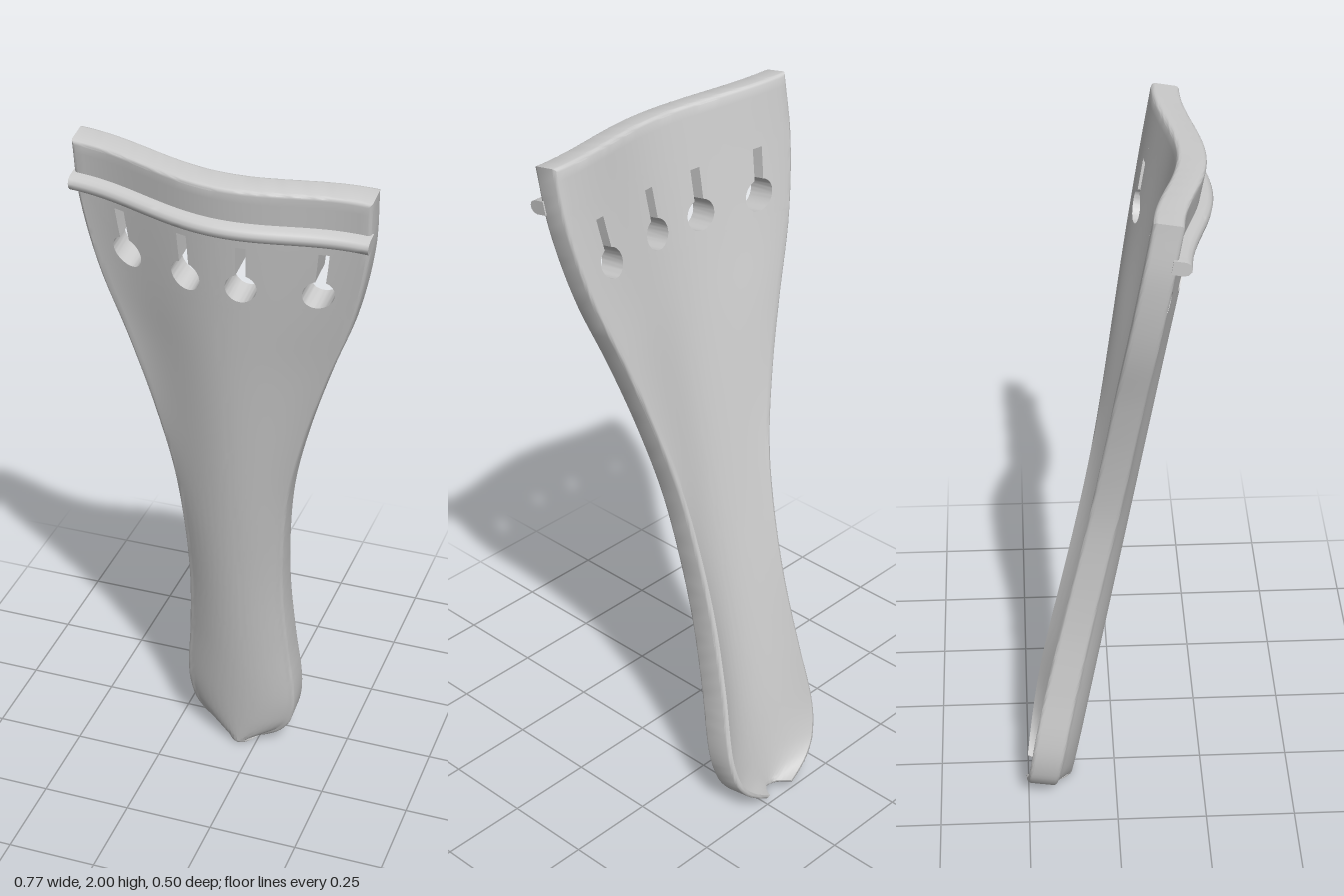
import * as THREE from 'three';
import { toCreasedNormals } from 'three/addons/utils/BufferGeometryUtils.js';

const TOP = 1.96, BEVEL = 0.01;

// smooth interpolation through [v, value] pairs
function smooth(table) {
  const slope = i => {
    const a = table[Math.max(i - 1, 0)], b = table[Math.min(i + 1, table.length - 1)];
    return (b[1] - a[1]) / (b[0] - a[0]);
  };
  return v => {
    let i = 0;
    while (i < table.length - 2 && v > table[i + 1][0]) i++;
    const [v0, p0] = table[i], [v1, p1] = table[i + 1], d = v1 - v0;
    const t = Math.min(Math.max((v - v0) / d, 0), 1), t2 = t * t, t3 = t2 * t;
    return p0 * (2 * t3 - 3 * t2 + 1) + p1 * (3 * t2 - 2 * t3)
      + slope(i) * d * (t3 - 2 * t2 + t) + slope(i + 1) * d * (t3 - t2);
  };
}

const halfWidth = smooth([[0, 0.052], [0.02, 0.085], [0.05, 0.12], [0.1, 0.15], [0.2, 0.165], [0.4, 0.15],
  [0.6, 0.14], [0.8, 0.145], [1, 0.165], [1.2, 0.21], [1.4, 0.27], [1.6, 0.338], [1.8, 0.378], [1.96, 0.385]]);
const crownDepth = smooth([[0, 0.045], [0.3, 0.048], [1, 0.04], [1.5, 0.052], [1.96, 0.06]]);
const thickness = smooth([[0, 0.085], [0.3, 0.088], [1, 0.078], [1.96, 0.073]]);

// point on the leaning, crowned body: s across (-1..1), v along, depth below the front, inset from the rim
function point(s, v, depth = 0, inset = 0) {
  const u = s * (halfWidth(v) - inset);
  const bell = THREE.MathUtils.smoothstep(v, 0.8, 1.5);
  const crown = THREE.MathUtils.lerp(s * s, (1 - Math.cos(Math.PI * s)) / 2, bell) * crownDepth(v);
  const w = -crown - depth;
  const along = v + inset * (1 - 2 * v / TOP);
  return [-0.05 + 0.028 * v + u, along - 0.178 * w - 0.04 * u, -0.125 + 0.178 * along + w + 0.053 * u];
}

function quad(out, a, b, c, d) {
  out.push(...a, ...b, ...c, ...a, ...c, ...d);
}

function makeMesh(out, name, crease) {
  const g = new THREE.BufferGeometry();
  g.setAttribute('position', new THREE.Float32BufferAttribute(out, 3));
  const mesh = new THREE.Mesh(toCreasedNormals(g, crease),
    new THREE.MeshStandardMaterial({ color: 0xcccccc, side: THREE.DoubleSide }));
  mesh.name = name;
  return mesh;
}

const range = (a, b, n) => Array.from({ length: n + 1 }, (_, i) => a + (b - a) * i / n);

// the same (s, v) quad on the front and, reversed, on the back
function sheetQuad(out, a, b, c, d) {
  const front = ([s, v]) => point(s, v, 0, BEVEL);
  const back = ([s, v]) => point(s, v, thickness(v), BEVEL);
  quad(out, front(a), front(b), front(c), front(d));
  quad(out, back(d), back(c), back(b), back(a));
}

function sheetGrid(out, ss, vs) {
  for (let j = 0; j < vs.length - 1; j++)
    for (let i = 0; i < ss.length - 1; i++)
      sheetQuad(out, [ss[i], vs[j]], [ss[i + 1], vs[j]], [ss[i + 1], vs[j + 1]], [ss[i], vs[j + 1]]);
}

// rectangular cell of the body pierced by one keyhole
function keyholeCell(out, s0, s1, v0, v1, cs, cv) {
  const scale = 0.36, r = 0.041, slot = 0.013, reach = 0.122;
  const up = Math.PI / 2, tip = Math.atan(slot / reach), neck = Math.asin(slot / r);
  const corners = [s0, s1].flatMap(s => [v0, v1].map(v => Math.atan2(v - cv, (s - cs) * scale)));
  const angles = [...range(up + neck, up - neck + 2 * Math.PI, 40), ...range(up - neck, up - tip, 4),
    ...range(up - tip, up + tip, 4), ...range(up + tip, up + neck, 4), ...corners]
    .map(a => (a + 4 * Math.PI) % (2 * Math.PI)).sort((a, b) => a - b)
    .filter((a, i, all) => i === 0 || a - all[i - 1] > 1e-5);
  const rays = angles.map(a => {
    const dx = Math.cos(a), dy = Math.sin(a);
    let hole = r;
    if (dy > 0) hole = Math.max(r, Math.min(slot / Math.max(Math.abs(dx), 1e-6), reach / dy));
    const rectX = (dx > 0 ? s1 - cs : cs - s0) * scale / Math.max(Math.abs(dx), 1e-6);
    const rectY = (dy > 0 ? v1 - cv : cv - v0) / Math.max(Math.abs(dy), 1e-6);
    const rim = Math.min(rectX, rectY);
    return range(hole, rim, 6).map(q => [cs + q * dx / scale, cv + q * dy]);
  });
  rays.forEach((ray, i) => {
    const next = rays[(i + 1) % rays.length];
    for (let k = 0; k < 6; k++) sheetQuad(out, ray[k], ray[k + 1], next[k + 1], next[k]);
    // wall of the hole
    const at = ([s, v], deep) => point(s, v, deep ? thickness(v) : 0, BEVEL);
    quad(out, at(ray[0]), at(next[0]), at(next[0], true), at(ray[0], true));
  });
}

function createBody() {
  const out = [];
  const ss = range(-1, 1, 40), v0 = 1.62, v1 = 1.85;
  const low = range(0, 1, 60).map(t => v0 * Math.pow(t, 1.5));
  const high = range(v1, TOP, 5);
  sheetGrid(out, ss, low);
  sheetGrid(out, ss, high);

  // four string keyholes
  const bounds = [-1, -0.47, -0.02, 0.46, 1];
  [-0.715, -0.23, 0.19, 0.73].forEach((cs, i) =>
    keyholeCell(out, bounds[i], bounds[i + 1], v0, v1, cs, 1.685));

  // rounded rim around the whole outline
  const vs = [...low, ...range(v0, v1, 10).slice(1), ...high.slice(1)];
  const loop = [...ss.map(s => [s, 0]), ...vs.slice(1).map(v => [1, v]),
    ...ss.map(s => [-s, TOP]).slice(1), ...vs.slice(0, -1).reverse().map(v => [-1, v])];
  const arc = range(0, Math.PI / 2, 3).map(a => [BEVEL * (1 - Math.sin(a)), BEVEL * (1 - Math.cos(a))]);
  const rings = [
    ...arc.map(([inset, d]) => loop.map(([s, v]) => point(s, v, d, inset))),
    ...arc.reverse().map(([inset, d]) => loop.map(([s, v]) => point(s, v, thickness(v) - d, inset)))];
  for (let k = 0; k < rings.length - 1; k++)
    for (let i = 0; i < loop.length - 1; i++)
      quad(out, rings[k][i], rings[k + 1][i], rings[k + 1][i + 1], rings[k][i + 1]);
  return makeMesh(out, 'tailpieceBody', 0.62);
}

// raised bar across the front, following the crown
function createStringBar() {
  const out = [];
  const profile = [[-0.018, -0.012], [-0.018, 0.018], [-0.014, 0.028], [-0.005, 0.034],
    [0.005, 0.034], [0.014, 0.028], [0.018, 0.018], [0.018, -0.012]];
  const sections = range(-1.01, 1.01, 48).map(s => profile.map(([dv, w]) => point(s, 1.855 + dv, -w)));
  const n = profile.length;
  for (let j = 0; j < sections.length - 1; j++)
    for (let i = 0; i < n; i++) {
      const a = sections[j], b = sections[j + 1], k = (i + 1) % n;
      quad(out, a[i], b[i], b[k], a[k]);
    }
  const first = sections[0], last = sections[sections.length - 1];
  for (let i = 1; i < n - 1; i++) {
    out.push(...first[0], ...first[i], ...first[i + 1]);
    out.push(...last[0], ...last[i + 1], ...last[i]);
  }
  return makeMesh(out, 'stringBar', 0.7);
}

export function createModel() {
  const model = new THREE.Group();
  model.name = 'tailpiece';
  model.add(createBody(), createStringBar());
  return model;
}
